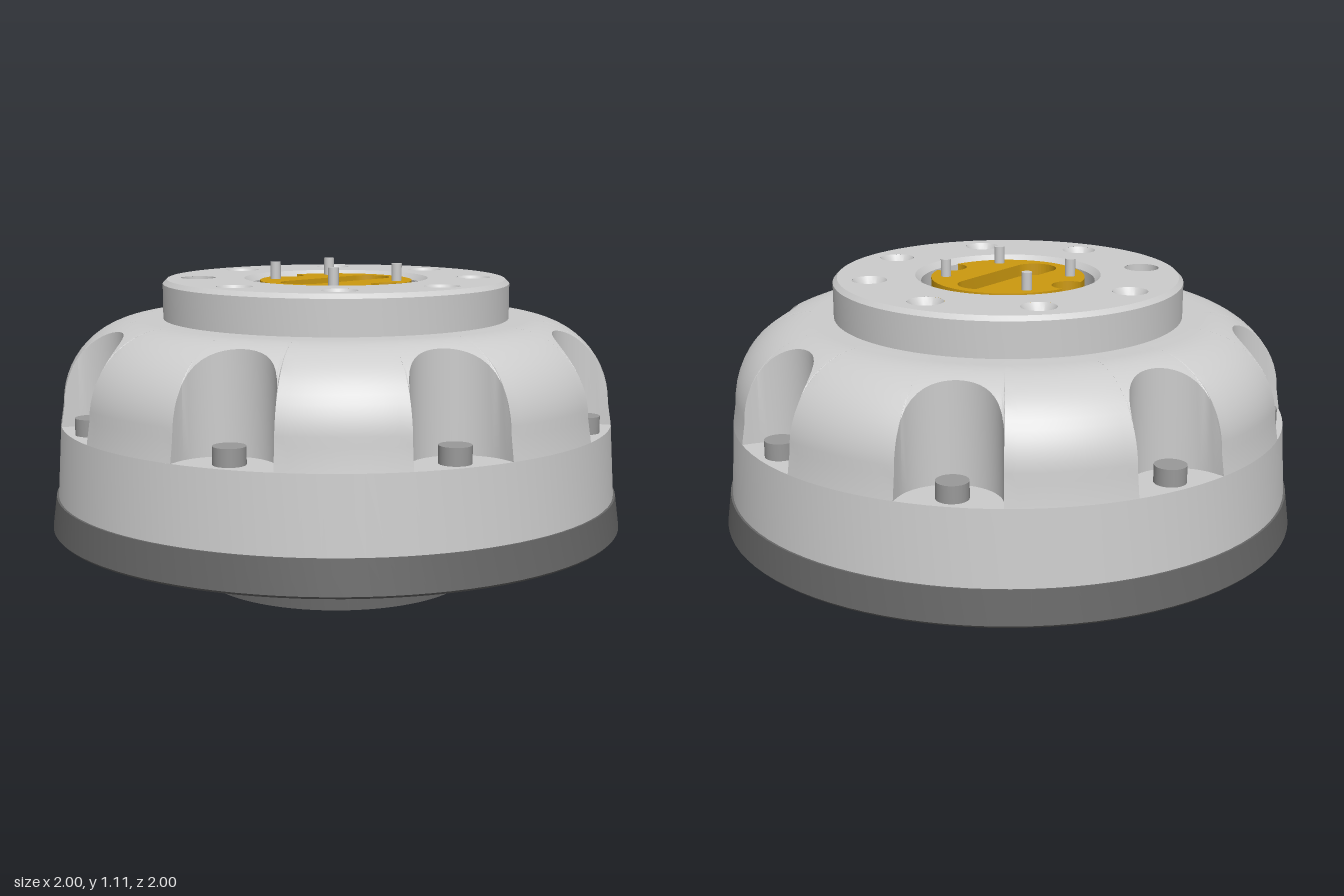
import * as THREE from 'three';
import { toCreasedNormals } from 'three/addons/utils/BufferGeometryUtils.js';

const material = (name, color) => {
  const m = new THREE.MeshStandardMaterial({ color });
  m.name = name;
  return m;
};
const TAU = Math.PI * 2;

// Smooth turned part; points run so that the outside lies to their right
function turned(points, segments = 96) {
  const g = new THREE.LatheGeometry(points.map(([r, y]) => new THREE.Vector2(r, y)), segments);
  return toCreasedNormals(g, 0.45);
}

// Upper dome: a quarter-round shoulder with eight vertical round scoops
function scoopedDome() {
  const count = 8, centre = 0.94, radius = 0.165, floorY = 0.57;
  const roundR = 0.67, roundY = 0.645, round = 0.28;
  const half = Math.asin(radius / centre), pitch = TAU / count;
  const columns = [];
  for (let k = 0; k < count; k++) {
    const mid = k * pitch;
    for (let i = 0; i <= 20; i++) { // scoop
      const phi = half * Math.sin((i / 20 - 0.5) * Math.PI);
      const root = Math.max(0, radius ** 2 - (centre * Math.sin(phi)) ** 2);
      const r = centre * Math.cos(phi) - Math.sqrt(root);
      columns.push({ angle: mid + phi, r, foot: r });
    }
    for (let i = 0; i <= 10; i++) { // full surface between scoops
      columns.push({ angle: mid + half + (pitch - 2 * half) * i / 10, r: roundR + round, foot: 0.962 });
    }
  }
  columns.push(columns[0]);

  const steps = 14, rows = steps + 3, positions = [], index = [];
  columns.forEach(({ angle, r, foot }, i) => {
    const end = Math.asin(Math.min(1, (r - roundR) / round));
    const profile = [[0.58, roundY + round]];
    for (let j = 0; j <= steps; j++) {
      const a = end * j / steps;
      profile.push([roundR + round * Math.sin(a), roundY + round * Math.cos(a)]);
    }
    profile.push([foot, floorY]);
    for (const [pr, y] of profile) positions.push(pr * Math.sin(angle), y, pr * Math.cos(angle));
    if (i === columns.length - 1) return;
    for (let j = 0; j < rows - 1; j++) {
      const a = i * rows + j, d = a + rows;
      index.push(a, a + 1, d + 1, a, d + 1, d);
    }
  });
  const g = new THREE.BufferGeometry();
  g.setAttribute('position', new THREE.Float32BufferAttribute(positions, 3));
  g.setIndex(index);
  return toCreasedNormals(g, 0.5);
}

// Contact disc outline with two round side notches and a slanted slot
function discShape() {
  const R = 0.265, d = 0.25, n = 0.06, tilt = -0.41;
  const open = Math.acos((d * d + R * R - n * n) / (2 * d * R));
  const turn = Math.atan2(R * Math.sin(open), R * Math.cos(open) - d);
  const shape = new THREE.Shape();
  for (const a of [tilt, tilt + Math.PI]) {
    const b = a + Math.PI;
    shape.absarc(0, 0, R, a + open, b - open, false);
    shape.absarc(d * Math.cos(b), d * Math.sin(b), n, b - turn, b + turn, true);
  }
  return shape;
}
function slotPath(Type) {
  const p = new Type(), x = 0.07, y = 0.14, a = Math.atan2(y, x), q = Math.PI / 2;
  p.absarc(x, y, 0.075, a - q, a + q, false);
  p.absarc(-x, -y, 0.075, a + q, a + 3 * q, false);
  return p;
}

export function createModel() {
  const model = new THREE.Group();
  const light = material('light grey', 0xcccccc);
  const dark = material('dark grey', 0x666666);
  const steel = material('bolt grey', 0x999999);
  const gold = material('gold', 0xcc990f);
  const add = (name, geometry, mat, x = 0, y = 0, z = 0) => {
    const mesh = new THREE.Mesh(geometry, mat);
    mesh.name = name;
    mesh.position.set(x, y, z);
    model.add(mesh);
    return mesh;
  };

  // Base with its spigot
  add('base', turned([[0, 0], [0.48, 0], [0.48, 0.2], [0.993, 0.2], [1, 0.208], [0.985, 0.32], [0.9, 0.32]]), dark);

  // Housing
  add('lowerHousing', turned([[0.978, 0.318], [0.962, 0.57], [0.7, 0.57]]), light);
  add('scoopedDome', scoopedDome(), light);

  // Bolts standing on the scoop floors
  const bolt = new THREE.CylinderGeometry(0.052, 0.052, 0.06, 24);
  for (let k = 0; k < 8; k++) {
    const a = k * TAU / 8;
    add('housingBolt', bolt, steel, 0.888 * Math.sin(a), 0.597, 0.888 * Math.cos(a));
  }

  // Top flange: rim, drilled face and central recess
  const top = 1.06;
  add('flangeRim', turned([[0.603, 0.92], [0.603, 1.045], [0.588, top]]), light);
  add('centreRecess', turned([[0.32, top], [0.3, 1.04], [0.3, 0.95], [0, 0.95]]), light);
  const face = new THREE.Shape().absarc(0, 0, 0.588, 0, TAU, false);
  face.holes.push(new THREE.Path().absarc(0, 0, 0.32, 0, TAU, true));
  const sunkHole = turned([[0.06, 0], [0.042, -0.025], [0.042, -0.1], [0, -0.1]], 32);
  const plainHole = turned([[0.06, 0], [0.06, -0.1], [0, -0.1]], 32);
  for (let k = 0; k < 8; k++) {
    const a = (k + 0.5) * TAU / 8, x = 0.48 * Math.cos(a), z = 0.48 * Math.sin(a);
    face.holes.push(new THREE.Path().absarc(x, -z, 0.06, 0, TAU, true));
    add('flangeHole', k === 3 ? plainHole : sunkHole, light, x, top, z);
  }
  add('flangeFace', new THREE.ShapeGeometry(face, 48).rotateX(-Math.PI / 2), light, 0, top, 0);

  // Contact disc with slot floor and pins
  const shape = discShape();
  shape.holes.push(slotPath(THREE.Path));
  const disc = new THREE.ExtrudeGeometry(shape, { depth: 0.1, bevelEnabled: false, curveSegments: 32 });
  add('contactDisc', toCreasedNormals(disc.rotateX(-Math.PI / 2), 0.5), gold, 0, 0.952, 0);
  const slotFloor = new THREE.ShapeGeometry(slotPath(THREE.Shape), 24).rotateX(-Math.PI / 2);
  add('slotFloor', slotFloor, gold, 0, 1.01, 0);
  const pin = new THREE.CylinderGeometry(0.018, 0.018, 0.1, 16);
  for (const [x, z] of [[-0.1, -0.19], [0.21, -0.04], [-0.21, 0.045], [0.07, 0.205]]) {
    add('contactPin', pin, light, x, 1.062, z);
  }
  return model;
}
